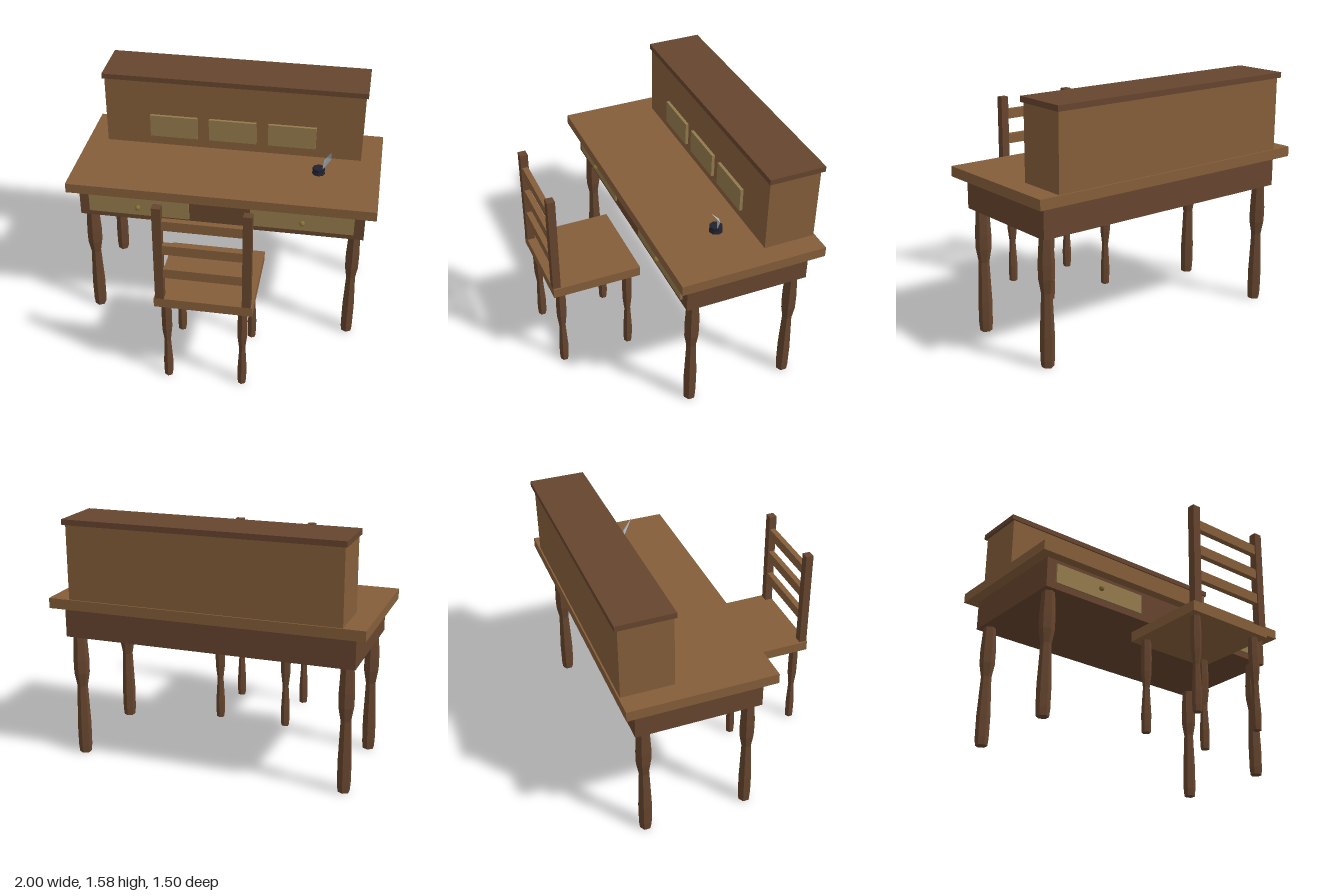
import * as THREE from 'three';

const mat = (color, side = THREE.FrontSide) =>
  new THREE.MeshStandardMaterial({ color, side, flatShading: true });

export function createModel() {
  const model = new THREE.Group();
  const oak = mat(0x855e3a), walnut = mat(0x66452e), panelWood = mat(0x937a4c);
  const brass = mat(0x8a7030), ink = mat(0x20222e), feather = mat(0xb4b9be, THREE.DoubleSide);

  const add = (parent, name, geometry, material) => {
    const mesh = new THREE.Mesh(geometry, material);
    mesh.name = name;
    parent.add(mesh);
    return mesh;
  };
  // Box given by its extents on each axis
  const box = (parent, name, [x0, x1], [y0, y1], [z0, z1], material) =>
    add(parent, name, new THREE.BoxGeometry(x1 - x0, y1 - y0, z1 - z0), material)
      .position.set((x0 + x1) / 2, (y0 + y1) / 2, (z0 + z1) / 2);
  // Closed turned shape from [radius, height] pairs
  const turned = (profile, sides) => {
    const points = profile.map(([r, y]) => new THREE.Vector2(r, y));
    points.unshift(new THREE.Vector2(0, profile[0][1]));
    points.push(new THREE.Vector2(0, profile[profile.length - 1][1]));
    return new THREE.LatheGeometry(points, sides);
  };
  const legs = (parent, name, profile, x, zs) => {
    const geometry = turned(profile, 6);
    for (const sx of [-x, x]) for (const z of zs)
      add(parent, name, geometry, walnut).position.set(sx, 0, z);
  };

  // Desk
  const desk = new THREE.Group();
  desk.name = 'desk';
  model.add(desk);
  box(desk, 'deskTop', [-1, 1], [1.005, 1.07], [-0.745, 0.19], oak);
  box(desk, 'apron', [-0.93, 0.93], [0.805, 1.005], [-0.675, 0.125], walnut);
  legs(desk, 'deskLeg', [[0.038, 0], [0.043, 0.05], [0.044, 0.2], [0.033, 0.46],
    [0.049, 0.55], [0.05, 0.64], [0.041, 0.805]], 0.87, [0.06, -0.61]);

  // Drawers with knobs
  for (const s of [-1, 1]) {
    const xs = [0.2 * s, 0.865 * s].sort((a, b) => a - b);
    box(desk, 'drawerFront', xs, [0.845, 0.975], [0.12, 0.138], panelWood);
    add(desk, 'drawerKnob', new THREE.SphereGeometry(0.018, 8, 6), brass)
      .position.set(0.535 * s, 0.91, 0.153);
  }

  // Hutch with its cap and small panels
  box(desk, 'hutch', [-0.865, 0.865], [1.07, 1.54], [-0.735, -0.405], oak);
  box(desk, 'hutchCap', [-0.88, 0.88], [1.54, 1.575], [-0.755, -0.395], walnut);
  for (const x of [-0.4, 0, 0.4])
    box(desk, 'hutchPanel', [x - 0.16, x + 0.16], [1.14, 1.295], [-0.41, -0.385], panelWood);

  // Chair
  const chair = new THREE.Group();
  chair.name = 'chair';
  model.add(chair);
  box(chair, 'seat', [-0.305, 0.305], [0.605, 0.67], [0.167, 0.75], oak);
  legs(chair, 'chairLeg', [[0.027, 0], [0.03, 0.04], [0.031, 0.12], [0.021, 0.29],
    [0.033, 0.39], [0.034, 0.5], [0.03, 0.605]], 0.24, [0.69, 0.235]);
  for (const s of [-1, 1])
    box(chair, 'backPost', [s * 0.268 - 0.027, s * 0.268 + 0.027], [0.67, 1.335], [0.7, 0.75], walnut);
  for (const y of [0.83, 1.005, 1.18])
    box(chair, 'backRail', [-0.242, 0.242], [y, y + 0.065], [0.705, 0.742], oak);

  // Inkwell
  add(desk, 'inkwell', turned([[0.044, 1.07], [0.037, 1.09], [0.041, 1.092], [0.041, 1.11]], 8), ink)
    .position.set(0.6, 0, -0.21);

  // Quill: thin shaft and a bent, folded feather
  const base = [0.622, 1.09, -0.207], fold = [0.652, 1.2, -0.2], left = [0.632, 1.18, -0.199];
  const right = [0.678, 1.19, -0.197], tip = [0.677, 1.28, -0.13];
  const vane = new THREE.BufferGeometry();
  vane.setAttribute('position', new THREE.Float32BufferAttribute(
    [base, fold, left, base, right, fold, left, fold, tip, fold, right, tip].flat(), 3));
  vane.computeVertexNormals();
  add(desk, 'quill', vane, feather);

  return model;
}
